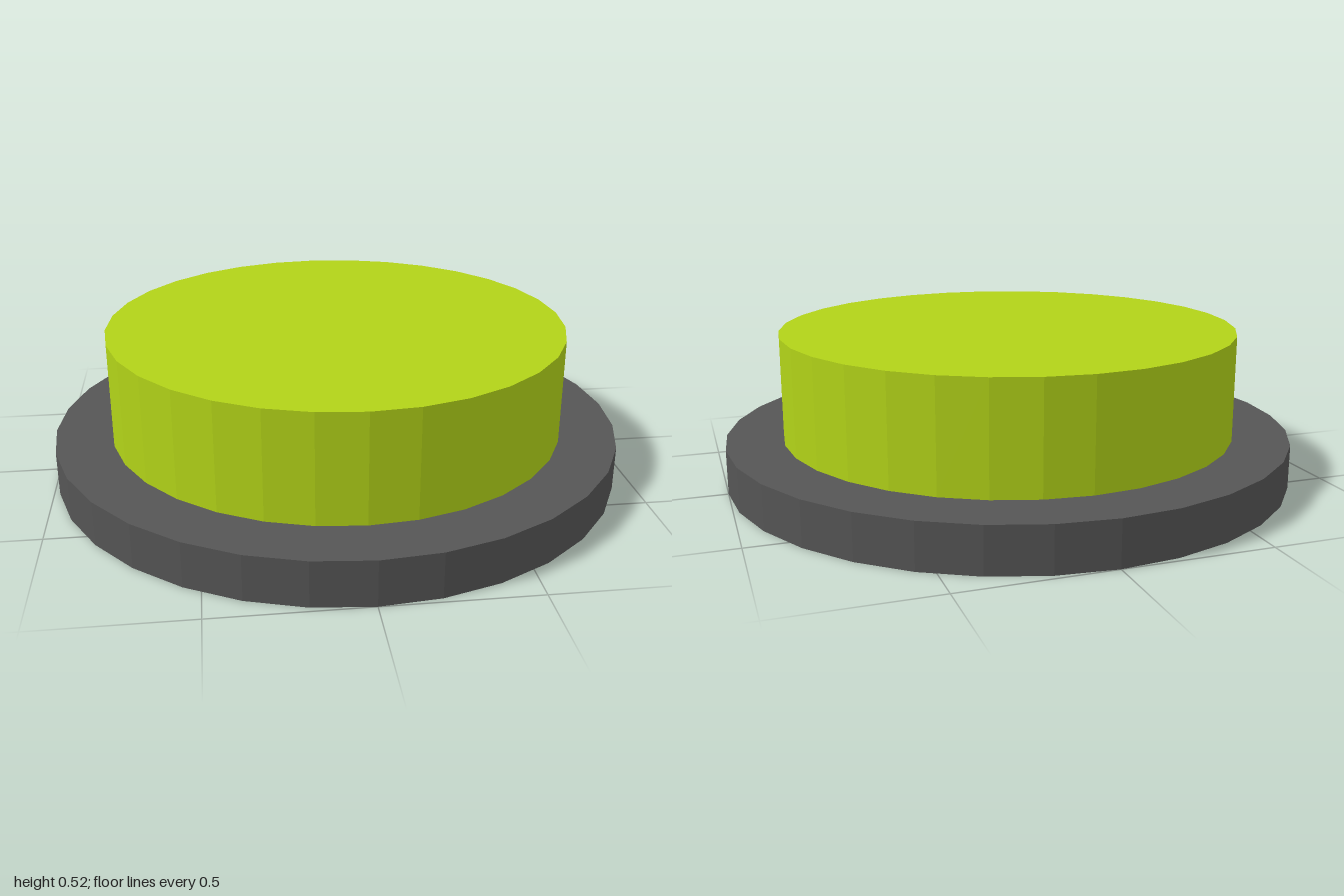
import * as THREE from 'three';

const SIDES = 32;

// Upright faceted disc standing between two heights
function disc(name, radius, bottom, top, color) {
  const geometry = new THREE.CylinderGeometry(radius, radius, top - bottom, SIDES);
  const material = new THREE.MeshStandardMaterial({ color, flatShading: true });
  const mesh = new THREE.Mesh(geometry, material);
  mesh.name = name;
  mesh.position.y = (bottom + top) / 2;
  return mesh;
}

export function createModel() {
  const button = new THREE.Group();
  button.name = 'pushButton';

  // Wide dark base plate with the raised green cap on it
  button.add(disc('basePlate', 1, 0, 0.153, 0x555555));
  button.add(disc('buttonCap', 0.803, 0.153, 0.522, 0xb2d318));

  return button;
}
